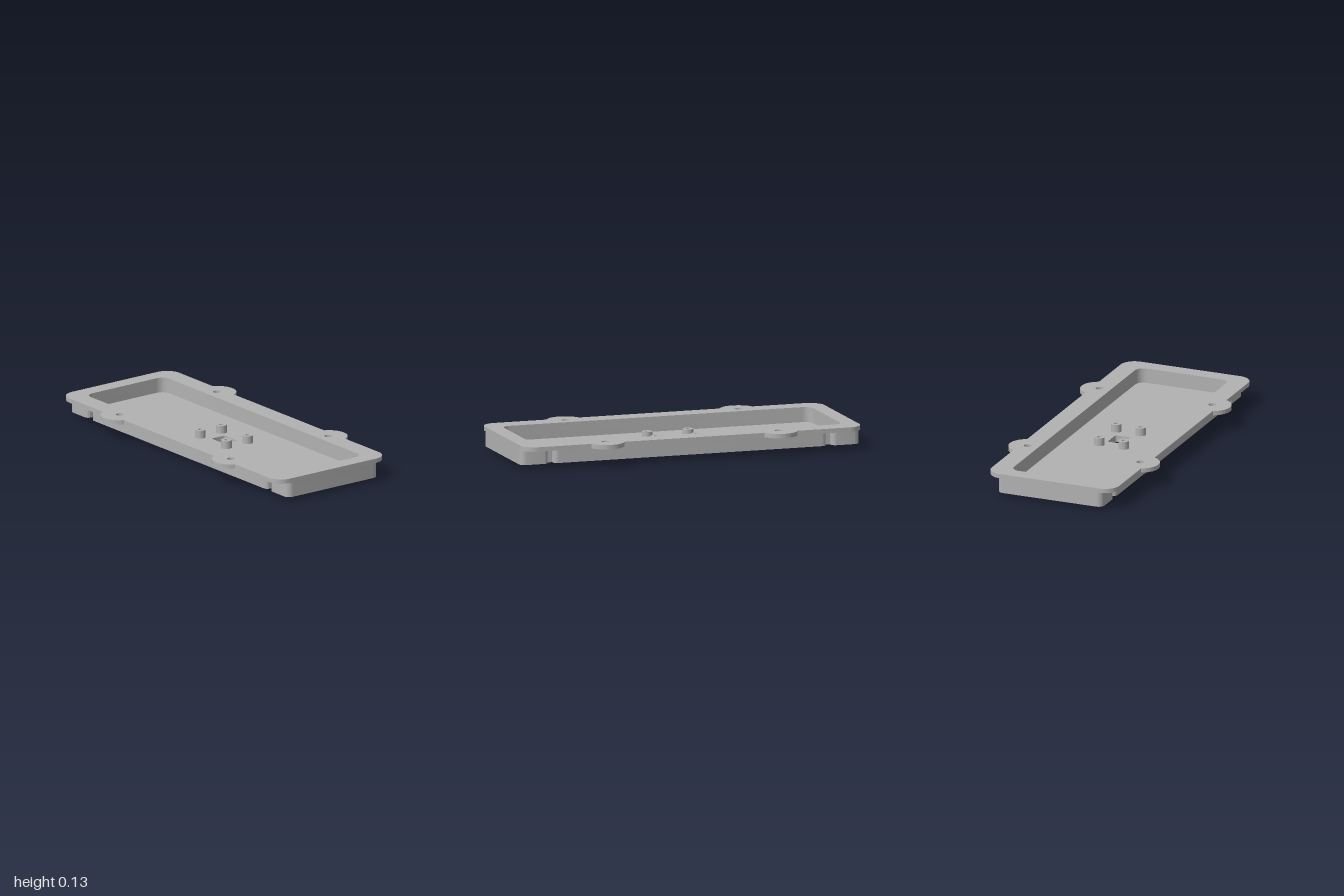
import * as THREE from 'three';
import { toCreasedNormals } from 'three/addons/utils/BufferGeometryUtils.js';

const K = 0.5523; // Bezier factor for a quarter circle

// Closed outline through right-angled corners [x, y, radius]
function outline(corners, Type = THREE.Shape) {
  const path = new Type();
  const n = corners.length;
  corners.forEach(([x, y, r], i) => {
    const p = new THREE.Vector2(x, y);
    const toward = (c, d) => new THREE.Vector2(c[0], c[1]).sub(p).setLength(d).add(p);
    const prev = corners[(i + n - 1) % n], next = corners[(i + 1) % n];
    const a = toward(prev, r), b = toward(next, r);
    if (i === 0) path.moveTo(a.x, a.y); else path.lineTo(a.x, a.y);
    if (r > 0) {
      const c1 = toward(prev, r * (1 - K)), c2 = toward(next, r * (1 - K));
      path.bezierCurveTo(c1.x, c1.y, c2.x, c2.y, b.x, b.y);
    }
  });
  path.closePath();
  return path;
}

function roundedRect(w, d, r, Type, cx = 0, cy = 0) {
  return outline([
    [cx - w, cy - d, r], [cx + w, cy - d, r], [cx + w, cy + d, r], [cx - w, cy + d, r],
  ], Type);
}

function circle(x, y, r, Type = THREE.Path) {
  const c = new Type();
  c.absarc(x, y, r, 0, Math.PI * 2, false);
  return c;
}

export function createModel() {
  const group = new THREE.Group();
  const grey = new THREE.MeshStandardMaterial({ color: 0xb2b2b2 });
  grey.name = 'grey plastic';

  // Horizontal slab from y0 to y1
  function slab(name, shape, holes, y0, y1) {
    shape.holes.push(...holes);
    const geo = new THREE.ExtrudeGeometry(shape, { depth: y1 - y0, bevelEnabled: false, curveSegments: 14 });
    geo.rotateX(-Math.PI / 2);
    geo.translate(0, y0, 0);
    const mesh = new THREE.Mesh(toCreasedNormals(geo, 0.6), grey);
    mesh.name = name;
    group.add(mesh);
    return mesh;
  }

  // Tray outline with a vertical groove near each end of the long sides
  function trayShape() {
    const d = 0.318, g = 0.281;
    const side = [
      [1, d, 0.037],
      [0.835, d, 0.025], [0.835, g, 0], [0.803, g, 0], [0.803, d, 0.025],
    ];
    const top = [...side, ...side.slice().reverse().map(([x, y, r]) => [-x, y, r])];
    return outline([...top, ...top.map(([x, y, r]) => [-x, -y, r])]);
  }
  const cavity = () => roundedRect(0.91, 0.275, 0.05, THREE.Path);
  const slot = () => roundedRect(0.056, 0.046, 0.008, THREE.Path, -0.003, 0.004);

  slab('trayFloor', trayShape(), [slot()], 0.02, 0.045);
  slab('trayWall', trayShape(), [cavity()], 0.045, 0.105);

  // Flange with four screw lobes
  const w = 1, d = 0.386, r = 0.085, lx = 0.51, lz = 0.345, lr = 0.105;
  const t = Math.asin((d - lz) / lr), P = Math.PI;
  const flange = new THREE.Shape();
  flange.absarc(-w + r, -d + r, r, P, 1.5 * P, false);
  for (const x of [-lx, lx]) flange.absarc(x, -lz, lr, P + t, 2 * P - t, false);
  flange.absarc(w - r, -d + r, r, 1.5 * P, 2 * P, false);
  flange.absarc(w - r, d - r, r, 0, 0.5 * P, false);
  for (const x of [lx, -lx]) flange.absarc(x, lz, lr, t, P - t, false);
  flange.absarc(-w + r, d - r, r, 0.5 * P, P, false);
  flange.closePath();
  const screwHoles = [];
  for (const x of [-lx, lx]) for (const z of [-0.341, 0.341]) screwHoles.push(circle(x, z, 0.022));
  slab('flange', flange, [cavity(), ...screwHoles], 0.105, 0.13);

  // Hollow standoffs around the slot
  for (const x of [-0.12, 0.12]) {
    for (const z of [-0.074, 0.074]) {
      slab('standoff', circle(x, z, 0.03, THREE.Shape), [circle(x, z, 0.012)], 0.045, 0.09);
    }
  }

  // Underside: frame around the slot and two long rails
  slab('slotFrame', roundedRect(0.1, 0.085, 0.025), [roundedRect(0.072, 0.058, 0.012, THREE.Path)], 0, 0.02);
  for (const z of [-0.182, 0.182]) {
    slab('rail', roundedRect(0.735, 0.017, 0.016, THREE.Shape, 0, z), [], 0.005, 0.02);
  }
  return group;
}
